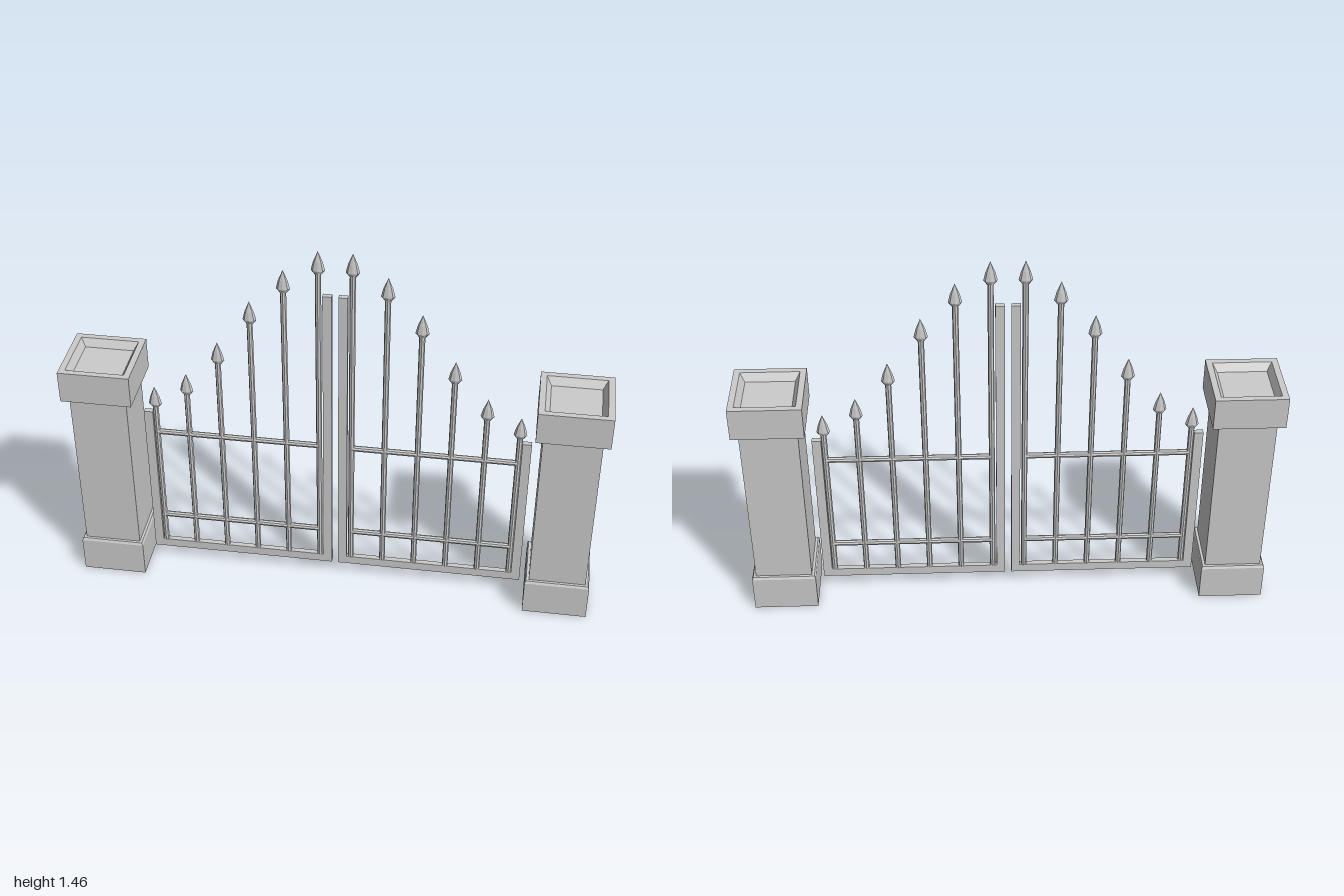
import * as THREE from 'three';

const material = new THREE.MeshStandardMaterial({ color: 0xcccccc, flatShading: true });

function addMesh(parent, name, geometry, x = 0, y = 0, z = 0) {
  const mesh = new THREE.Mesh(geometry, material);
  mesh.name = name;
  mesh.position.set(x, y, z);
  parent.add(mesh);
  return mesh;
}

// Square solid from [halfWidth, height] steps, listed from bottom to top
function squareProfile(steps) {
  const points = steps.map(([h, y]) => new THREE.Vector2(h * Math.SQRT2, y));
  return new THREE.LatheGeometry(points, 4).rotateY(Math.PI / 4);
}

// Stone post: plinth, shaft and a cap with a sunken top
function createPillar() {
  const pillar = new THREE.Group();
  addMesh(pillar, 'pillarBase', squareProfile([
    [0, 0], [0.122, 0], [0.122, 0.14], [0.117, 0.15], [0.1, 0.15],
  ]));
  addMesh(pillar, 'pillarShaft', squareProfile([[0.107, 0.145], [0.107, 0.825]]));
  addMesh(pillar, 'pillarCap', squareProfile([
    [0, 0.82], [0.133, 0.82], [0.133, 0.945], [0.11, 0.945], [0.092, 0.915], [0, 0.915],
  ]));
  return pillar;
}

// Flattened spear tip, with its base at y = 0
function createSpearHead() {
  const points = [[0, 0], [0.012, 0], [0.025, 0.017], [0.017, 0.05], [0, 0.092]]
    .map(([r, y]) => new THREE.Vector2(r, y));
  return new THREE.LatheGeometry(points, 8).scale(1, 1, 0.5);
}

// U-shaped frame: short hinge stile, bottom rail, tall meeting stile
function createFrame() {
  const outline = [
    [0.012, 0.055], [0.725, 0.055], [0.725, 0.715], [0.691, 0.715],
    [0.691, 0.09], [0.045, 0.09], [0.045, 1.28], [0.012, 1.28],
  ].map(([x, y]) => new THREE.Vector2(x, y));
  return new THREE.ExtrudeGeometry(new THREE.Shape(outline), { depth: 0.02, bevelEnabled: false })
    .translate(0, 0, -0.01);
}

function createLeaf() {
  const leaf = new THREE.Group();
  addMesh(leaf, 'gateFrame', createFrame());

  // Pickets, rising toward the middle of the gate
  const head = createSpearHead();
  const tips = [1.455, 1.37, 1.23, 1.045, 0.895, 0.825];
  tips.forEach((tip, i) => {
    const x = 0.061 + i * 0.1238;
    const bottom = 0.085;
    const top = tip - 0.085;
    const bar = new THREE.CylinderGeometry(0.011, 0.011, top - bottom, 8);
    addMesh(leaf, 'picket', bar, x, (top + bottom) / 2);
    addMesh(leaf, 'spearHead', head, x, tip - 0.092);
  });

  // Horizontal rails
  for (const y of [0.215, 0.62]) {
    const rail = new THREE.CylinderGeometry(0.011, 0.011, 0.62, 8).rotateZ(Math.PI / 2);
    addMesh(leaf, 'crossRail', rail, 0.37, y);
  }
  return leaf;
}

export function createModel() {
  const model = new THREE.Group();
  model.name = 'gate';

  for (const side of [1, -1]) {
    const label = side > 0 ? 'left' : 'right';

    const pillar = createPillar();
    pillar.name = label + 'Pillar';
    pillar.position.x = side * 0.867;
    model.add(pillar);

    // The leaf is the same front and back, so a half turn mirrors it
    const leaf = createLeaf();
    leaf.name = label + 'Leaf';
    if (side < 0) leaf.rotation.y = Math.PI;
    model.add(leaf);
  }
  return model;
}
